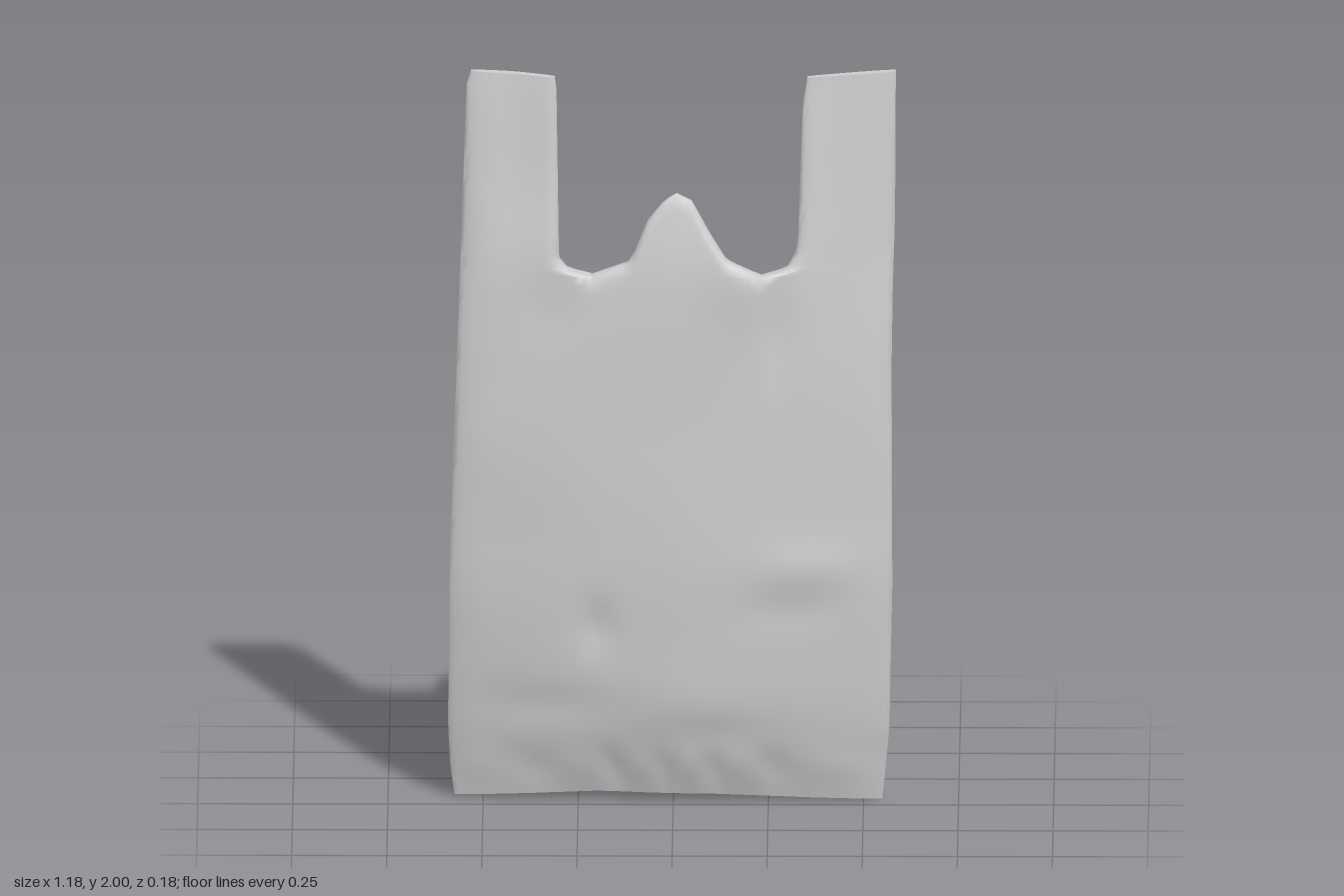
import * as THREE from 'three';
import { mergeVertices, toCreasedNormals } from 'three/addons/utils/BufferGeometryUtils.js';

const SEAM = 1.455; // height where the handles and the flap leave the body

// Piecewise-linear lookup in a short list of [key, value] pairs
function lerpTable(t, k) {
  if (k <= t[0][0]) return t[0][1];
  for (let i = 1; i < t.length; i++) {
    if (k <= t[i][0]) {
      const f = (k - t[i - 1][0]) / (t[i][0] - t[i - 1][0]);
      return t[i - 1][1] + f * (t[i][1] - t[i - 1][1]);
    }
  }
  return t[t.length - 1][1];
}

// The same lookup with its corners softened
function softTable(t, y) {
  const w = Math.min(0.08, y, Math.max(0, 2 - y));
  return [-1, -0.5, 0, 0.5, 1].reduce((sum, k) => sum + lerpTable(t, y + k * w), 0) / 5;
}

// Outline: x of the vertical edges by height, y of the hem, the flap and the handle ends by x
const outerRight = [[0, -0.575], [0.08, -0.586], [0.2, -0.592], [0.6, -0.59], [1, -0.577], [1.5, -0.56], [1.97, -0.543], [2, -0.532]];
const innerRight = [[1.455, -0.21], [1.47, -0.275], [1.5, -0.3], [1.97, -0.307], [2, -0.316]];
const innerLeft = [[1.455, 0.23], [1.47, 0.297], [1.51, 0.322], [1.55, 0.328], [1.9, 0.34], [2, 0.355]];
const outerLeft = [[0, 0.55], [0.2, 0.568], [0.6, 0.576], [1.2, 0.574], [1.4, 0.577], [1.6, 0.583], [2, 0.585]];
const hem = [[-0.58, 0.005], [-0.2, 0.028], [0.1, 0.022], [0.55, 0]];
const flapTop = [[-0.21, 1.457], [-0.11, 1.495], [-0.07, 1.6], [-0.02, 1.66], [0.01, 1.675],
  [0.05, 1.655], [0.09, 1.58], [0.14, 1.5], [0.23, 1.457]];
const handleTop = [[-0.54, 2], [-0.31, 1.985], [0.35, 1.98], [0.585, 1.992]];

// Depth by height: front and back sheet at the centre, and middle and half thickness at the sides
const frontZ = [[0, -0.035], [0.12, 0.012], [0.25, 0.057], [0.6, 0.086], [1, 0.084], [1.3, 0.077], [1.5, 0.072], [1.68, 0.038], [2, 0]];
const backZ = [[0, -0.054], [0.25, -0.01], [0.6, 0.03], [1, 0.038], [1.3, 0.018], [1.5, 0.012], [1.68, 0.006], [2, -0.015]];
const sideZ = [[0, -0.076], [0.25, -0.042], [0.6, -0.002], [1, 0.007], [1.3, -0.004], [1.55, -0.03], [1.75, -0.034], [2, -0.034]];
const sideHalf = [[0, 0.009], [0.25, 0.028], [0.6, 0.024], [1, 0.023], [1.6, 0.032], [1.85, 0.028], [2, 0.014]];

// Dents and bulges in the film: x, y, radius x, radius y, depth
const sharedDents = [[0.2, 1.47, 0.12, 0.15, 0.018], [-0.2, 1.47, 0.1, 0.15, -0.008], [-0.42, 1.9, 0.08, 0.35, -0.012]];
const frontDents = [[-0.2, 0.5, 0.05, 0.07, -0.012], [0.35, 0.66, 0.12, 0.06, 0.009], [0.3, 0.54, 0.14, 0.06, -0.006],
  [-0.33, 0.28, 0.18, 0.06, -0.008], [0.1, 0.2, 0.14, 0.05, -0.006], [0.27, 1.32, 0.04, 0.14, -0.01],
  [-0.32, 1.36, 0.08, 0.1, -0.009]];
const backDents = [[-0.15, 1.36, 0.07, 0.1, 0.009], [0.3, 0.45, 0.12, 0.08, 0.006],
  [-0.35, 0.5, 0.07, 0.14, -0.007], [0, 0.28, 0.2, 0.07, 0.006], [-0.3, 1, 0.07, 0.2, 0.006]];

function wrinkle(x, y, front) {
  let z = 0;
  for (const [cx, cy, rx, ry, d] of [...sharedDents, ...(front ? frontDents : backDents)]) {
    z += d * Math.exp(-(((x - cx) / rx) ** 2) - ((y - cy) / ry) ** 2);
  }
  const p = front ? 0 : 1.9;
  z += 0.003 * Math.sin(11 * x + 5 * y + p) * Math.sin(7 * y - 6 * x + p);
  // Pointed gathers just above the hem
  const gather = Math.abs(Math.sin(17 * x + 1.2 * Math.sin(7 * x + p) + p + 6 * y)) - 0.6;
  return z + (front ? 0.011 : 0.006) * gather * Math.exp(-(((y - 0.1) / 0.05) ** 2));
}

// 0 on a free or folded edge, 1 where the film lies open: a wide roll outside, a tight one inside
function openness(x, y) {
  const a = lerpTable(innerRight, y);
  const b = lerpTable(innerLeft, y);
  const inner = x >= a && x <= b
    ? lerpTable(flapTop, x) - y
    : Math.hypot(x < a ? a - x : x - b, Math.max(0, SEAM - y));
  const outer = Math.min(x - lerpTable(outerRight, y), lerpTable(outerLeft, y) - x);
  return Math.max(0, Math.min(1, inner / 0.04, outer / 0.09));
}

function filmDepth(x, y, front) {
  const t = Math.min(1, Math.abs(x) / 0.58);
  const bow = 1 - t ** 1.7;
  const calm = Math.min(1, (1 - t) * 8);
  const tilt = 0.016 * (x / 0.58) * (0.5 - Math.min(1.5, y));
  const half = softTable(sideHalf, y);
  const sheet = (isFront) => {
    const edge = softTable(sideZ, y) + (isFront ? half : -half);
    return tilt + edge + (softTable(isFront ? frontZ : backZ, y) - edge) * bow + wrinkle(x, y, isFront) * calm;
  };
  // Round the two sheets towards each other along the edges
  const f = sheet(true);
  const b = sheet(false);
  const near = 1 - openness(x, y);
  const spread = 0.35 + 0.65 * Math.sqrt(1 - near * near);
  return (f + b) / 2 + (front ? 0.5 : -0.5) * Math.max(0.008, f - b) * spread;
}

// Position across the bag: 0-1 right handle strip, 1-2 middle, 2-3 left handle strip
function across(u, y) {
  const e = [outerRight, innerRight, innerLeft, outerLeft].map((t) => lerpTable(t, y));
  const i = Math.min(2, Math.floor(u));
  return e[i] + (e[i + 1] - e[i]) * (u - i);
}

// A flat sleeve of film: closed loops running along the front and returning along the back
function addSleeve(pos, index, columns, rows, heightAt, { top = false, bottom = false, steady = false } = {}) {
  const start = pos.length / 3;
  const n = columns.length;
  const ring = 2 * n;
  for (let r = 0; r <= rows; r++) {
    for (let k = 0; k < ring; k++) {
      const front = k < n;
      const u = columns[front ? k : ring - 1 - k];
      const y = heightAt(u, r / rows);
      const x = across(u, steady ? SEAM : y);
      pos.push(x, y, filmDepth(x, y, front));
    }
  }
  const quad = (a, b, c, d) => index.push(a, b, c, a, c, d);
  for (let r = 0; r < rows; r++) {
    for (let k = 0; k < ring; k++) {
      const a = start + r * ring + k;
      const b = start + r * ring + (k + 1) % ring;
      quad(a, b, b + ring, a + ring);
    }
  }
  for (let j = 0; j < n - 1; j++) {
    const f = start + j;
    const b = start + ring - 1 - j;
    const up = rows * ring;
    if (top) quad(f + up, f + 1 + up, b - 1 + up, b + up);
    if (bottom) quad(f + 1, f, b, b - 1);
  }
}

// Columns from one strip edge to the next, closer together at both ends
function easedSpan(from, count) {
  return Array.from({ length: count + 1 }, (_, i) => from + 0.5 - 0.5 * Math.cos(Math.PI * i / count));
}

export function createModel() {
  const group = new THREE.Group();
  group.name = 'carrierBag';
  const film = new THREE.MeshStandardMaterial({ color: 0xcccccc, side: THREE.DoubleSide });
  film.name = 'grey plastic film';

  const pos = [];
  const index = [];
  const right = easedSpan(0, 16);
  const middle = easedSpan(1, 36);
  const left = easedSpan(2, 16);

  // Body, from the sealed hem to the seam
  addSleeve(pos, index, [...right, ...middle.slice(1), ...left.slice(1)], 64, (u, v) => {
    const base = lerpTable(hem, across(u, 0));
    return base + (SEAM - base) * v;
  }, { bottom: true });
  // Two handles
  for (const strip of [right, left]) {
    addSleeve(pos, index, strip, 24, (u, v) => SEAM + (lerpTable(handleTop, across(u, 1.9)) - SEAM) * v ** 1.6,
      { top: true });
  }
  // Flap between the handles
  addSleeve(pos, index, middle, 12, (u, v) => SEAM + (lerpTable(flapTop, across(u, SEAM)) - SEAM) * Math.sin(v * Math.PI / 2),
    { top: true, steady: true });

  let geometry = new THREE.BufferGeometry();
  geometry.setAttribute('position', new THREE.Float32BufferAttribute(pos, 3));
  geometry.setIndex(index);
  geometry = toCreasedNormals(mergeVertices(geometry, 1e-4), 1.1);
  const bag = new THREE.Mesh(geometry, film);
  bag.name = 'bag';
  group.add(bag);
  return group;
}
